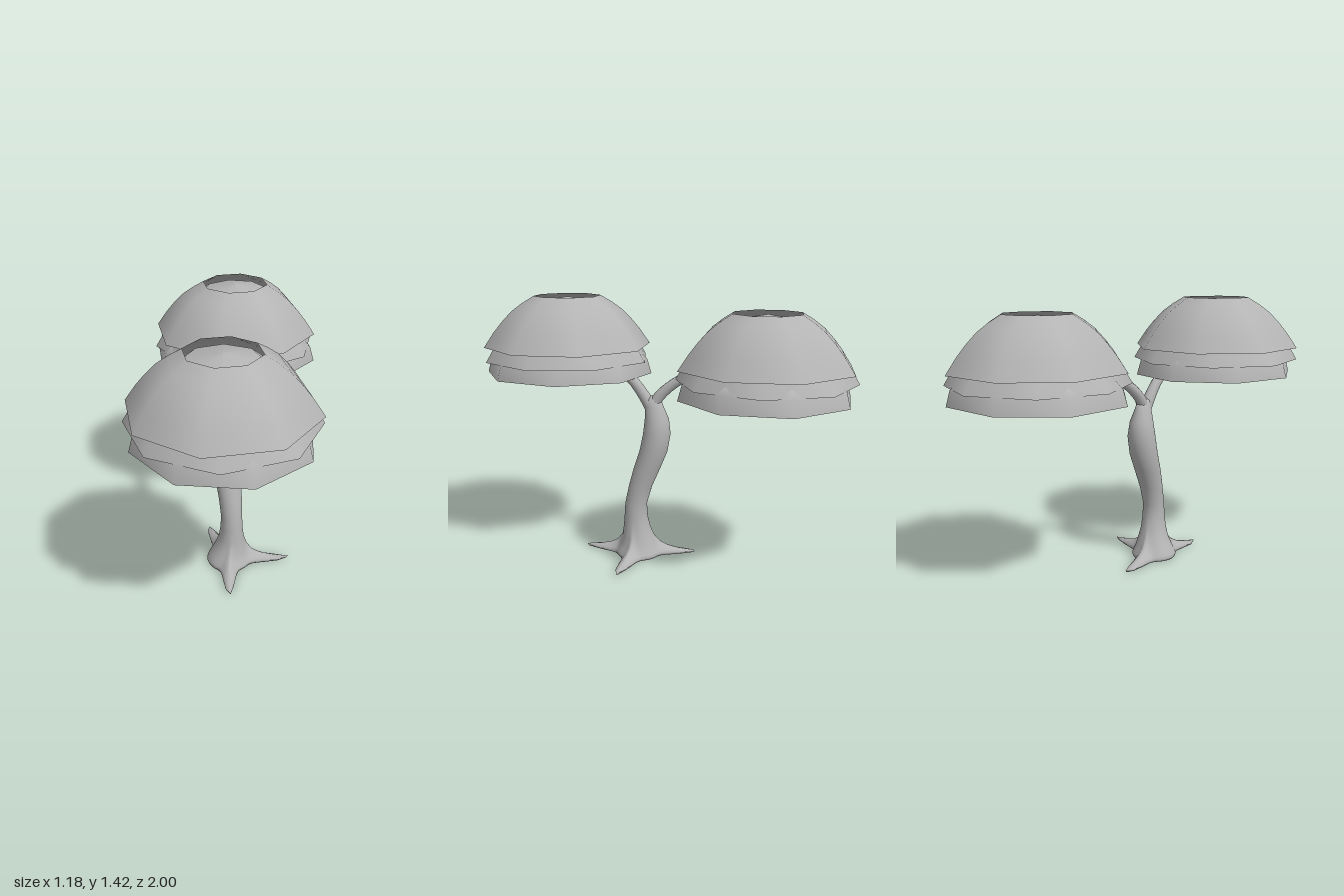
import * as THREE from 'three';

const bark = new THREE.MeshStandardMaterial({ color: 0xb4b4b4, side: THREE.DoubleSide });
bark.name = 'plain grey';

// Smooth skin over a stack of closed rings; point(i, angle) gives a vertex
function loft(rings, sides, point) {
  const pos = [], idx = [];
  for (let i = 0; i < rings; i++)
    for (let j = 0; j < sides; j++) pos.push(...point(i, (j / sides) * Math.PI * 2));
  for (let i = 0; i < rings - 1; i++)
    for (let j = 0; j < sides; j++) {
      const a = i * sides + j, b = i * sides + (j + 1) % sides;
      idx.push(a, a + sides, b, b, a + sides, b + sides);
    }
  const g = new THREE.BufferGeometry();
  g.setAttribute('position', new THREE.Float32BufferAttribute(pos, 3));
  g.setIndex(idx);
  g.computeVertexNormals();
  return g;
}

function add(parent, name, geometry) {
  const m = new THREE.Mesh(geometry, bark);
  m.name = name;
  parent.add(m);
  return m;
}

// Tube that narrows along its path
function taperedTube(points, r0, r1) {
  const curve = new THREE.CatmullRomCurve3(points.map(p => new THREE.Vector3(...p)));
  const n = 16, sides = 10, frames = curve.computeFrenetFrames(n);
  return loft(n + 1, sides, (i, a) => {
    const t = i / n, r = r0 + (r1 - r0) * t;
    return curve.getPointAt(t)
      .addScaledVector(frames.normals[i], Math.cos(a) * r)
      .addScaledVector(frames.binormals[i], Math.sin(a) * r).toArray();
  });
}

// Curved trunk whose foot spreads into three pointed roots
function trunkGeometry() {
  // y, centre x, centre z, radius x, radius z, root spread
  const rings = [
    [0.0, -0.035, 0.14, 0.0, 0.0, 0],
    [0.0, -0.035, 0.14, 0.118, 0.118, 0.97],
    [0.012, -0.035, 0.14, 0.122, 0.122, 1],
    [0.025, -0.035, 0.14, 0.118, 0.118, 0.62],
    [0.045, -0.035, 0.14, 0.108, 0.108, 0.3],
    [0.07, -0.033, 0.14, 0.097, 0.098, 0.13],
    [0.11, -0.028, 0.142, 0.082, 0.084, 0.04],
    [0.16, -0.025, 0.147, 0.068, 0.074, 0.01],
    [0.22, -0.023, 0.15, 0.06, 0.065, 0],
    [0.3, -0.023, 0.15, 0.057, 0.06, 0],
    [0.4, -0.025, 0.125, 0.062, 0.064, 0],
    [0.5, -0.028, 0.09, 0.07, 0.072, 0],
    [0.6, -0.029, 0.053, 0.076, 0.076, 0],
    [0.7, -0.029, 0.034, 0.075, 0.074, 0],
    [0.78, -0.029, 0.034, 0.061, 0.065, 0],
    [0.85, -0.028, 0.048, 0.038, 0.05, 0],
    [0.89, -0.028, 0.055, 0.028, 0.044, 0],
    [0.91, -0.028, 0.058, 0.0, 0.0, 0],
  ];
  const roots = [[0.335, 0.065], [-0.065, -0.325], [-0.065, 0.325]];
  return loft(rings.length, 72, (i, a) => {
    const [y, cx, cz, rx, rz, spread] = rings[i];
    const c = Math.cos(a), s = -Math.sin(a);
    let extra = 0;
    for (const [x, z] of roots) {
      let d = Math.atan2(s, c) - Math.atan2(z, x);
      d = Math.atan2(Math.sin(d), Math.cos(d));
      extra += (Math.hypot(x, z) - 0.122) * Math.exp(-((Math.abs(d) / 0.17) ** 1.3));
    }
    extra *= spread;
    return [cx + c * (rx + extra), y, cz + s * (rz + extra)];
  });
}

// Eight-sided shells as radius, height: an open-topped dome, a closed dome, a skirt and its flat ceiling
const shells = [
  { name: 'outerShell', y: 0.15, profile: [[0.455, 0], [0.4, 0.08], [0.355, 0.135], [0.302, 0.19], [0.245, 0.232], [0.181, 0.27]] },
  { name: 'middleShell', y: 0.08, profile: [[0.455, 0], [0.405, 0.085], [0.35, 0.15], [0.295, 0.21], [0.235, 0.26], [0.175, 0.305], [0, 0.335]] },
  { name: 'innerSkirt', y: 0, profile: [[0.456, 0], [0.434, 0.078], [0.4, 0.115], [0.325, 0.165]] },
  { name: 'ceiling', y: 0.165, profile: [[0, 0], [0.325, 0]] },
];

// turns: rotation of outer, middle and inner shells; sx, sz: slight oval of the inner ones
function canopy(name, x, rimY, z, turns, sx, sz) {
  const group = new THREE.Group();
  group.name = name;
  group.position.set(x, rimY, z);
  shells.forEach((s, i) => {
    const points = s.profile.map(([r, h]) => new THREE.Vector2(r, h));
    const geometry = new THREE.LatheGeometry(points, 8).rotateY(turns[Math.min(i, 2)]);
    const shell = add(group, s.name, geometry);
    shell.position.y = s.y;
    if (i > 1) shell.scale.set(sx, 1, sz);
  });
  return group;
}

export function createModel() {
  const tree = new THREE.Group();
  tree.name = 'tree';
  add(tree, 'trunk', trunkGeometry());

  // Two limbs rising into the canopies, with small twigs at their ends
  add(tree, 'frontBranch', taperedTube([[-0.028, 0.83, 0.06], [-0.03, 0.9, 0.1], [-0.035, 1.0, 0.18],
    [-0.05, 1.09, 0.34], [-0.08, 1.13, 0.5], [-0.11, 1.1, 0.62]], 0.033, 0.012));
  add(tree, 'rearBranch', taperedTube([[-0.028, 0.83, 0.06], [-0.028, 0.9, 0.025], [-0.022, 1.0, -0.095],
    [0.0, 1.06, -0.25], [0.05, 1.085, -0.48]], 0.033, 0.014));
  const twigs = [
    [[-0.105, 1.11, 0.6], [-0.12, 1.08, 0.64], [-0.15, 1.08, 0.67]],
    [[-0.105, 1.11, 0.6], [-0.1, 1.07, 0.65], [-0.07, 1.07, 0.69]],
    [[0.045, 1.083, -0.46], [0.085, 1.09, -0.53], [0.11, 1.105, -0.59]],
    [[0.045, 1.083, -0.46], [0.055, 1.09, -0.54], [0.07, 1.105, -0.61]],
  ];
  for (const t of twigs) add(tree, 'twig', taperedTube(t, 0.012, 0.003));

  tree.add(canopy('frontCanopy', -0.143, 1.0, 0.545, [Math.PI / 8, -0.22, 0.1], 0.955, 1));
  tree.add(canopy('rearCanopy', 0.14, 0.95, -0.545, [Math.PI / 8, 0.0, 0.33], 1.02, 0.98));
  return tree;
}
